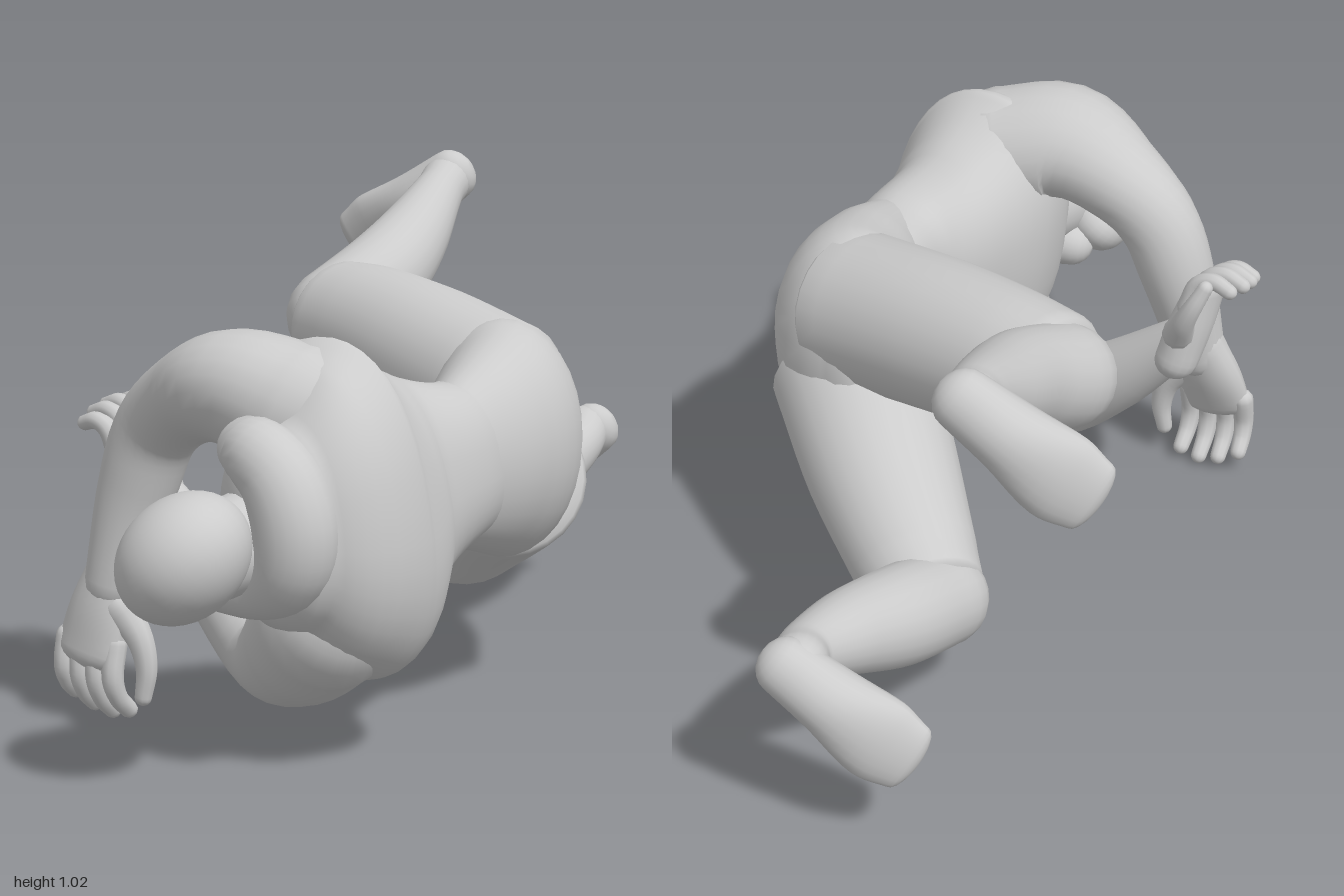
import * as THREE from 'three';

const grey = new THREE.MeshStandardMaterial({ color: 0xcccccc });
const V = (a) => new THREE.Vector3(...a);
const soften = (v, e) => Math.sign(v) * Math.abs(v) ** e;

// Smooth round-ended body through sections [x, y, z, halfWidth, halfDepth]; power < 1 squares the outline
function loft(name, sections, widthDir = [0, 1, 0], sides = 22, cap = 0.5, power = 1) {
  const path = new THREE.CatmullRomCurve3(sections.map((s) => V(s.slice(0, 3))));
  const size = new THREE.CatmullRomCurve3(
    sections.map((s) => new THREE.Vector3(s[3], s[4] ?? s[3], 0)), false, 'catmullrom');
  const rings = [];
  const steps = (sections.length - 1) * 5, capSteps = 5;
  const ring = (t, angle, sign) => {
    const r = size.getPoint(t), tan = path.getTangent(t);
    const depth = Math.min(r.x, r.y) * cap * 2 * Math.sin(angle) * sign;
    rings.push({ c: path.getPoint(t).addScaledVector(tan, depth), tan, r: r.multiplyScalar(Math.cos(angle)) });
  };
  for (let i = capSteps; i > 0; i--) ring(0, (i / capSteps) * Math.PI / 2, -1);
  for (let i = 0; i <= steps; i++) ring(i / steps, 0, 1);
  for (let i = 1; i <= capSteps; i++) ring(1, (i / capSteps) * Math.PI / 2, 1);

  const pos = [], index = [];
  rings.forEach(({ c, tan, r }, i) => {
    const w = V(widthDir).addScaledVector(tan, -V(widthDir).dot(tan)).normalize();
    const d = tan.clone().cross(w);
    for (let j = 0; j < sides; j++) {
      const a = (j / sides) * Math.PI * 2;
      const p = c.clone().addScaledVector(w, r.x * soften(Math.cos(a), power))
        .addScaledVector(d, r.y * soften(Math.sin(a), power));
      pos.push(p.x, p.y, p.z);
      if (i === rings.length - 1) continue;
      const k = i * sides, n = (j + 1) % sides;
      index.push(k + j, k + n, k + sides + j, k + n, k + sides + n, k + sides + j);
    }
  });
  const g = new THREE.BufferGeometry();
  g.setAttribute('position', new THREE.Float32BufferAttribute(pos, 3));
  g.setIndex(index);
  g.computeVertexNormals();
  const m = new THREE.Mesh(g, grey);
  m.name = name;
  return m;
}

function ball(name, at, radii, tilt) {
  const m = new THREE.Mesh(new THREE.SphereGeometry(1, 28, 20), grey);
  m.name = name;
  m.position.set(...at);
  m.scale.set(...radii);
  m.rotation.z = tilt;
  return m;
}

// Hand with the wrist at the origin, fingers along -y, palm towards -z
function hand(name, side, curl) {
  const g = new THREE.Group();
  g.name = name;
  g.add(loft('palm', [[0, 0.03, 0, 0.05, 0.046], [-0.015 * side, -0.05, 0, 0.067, 0.042],
    [-0.027 * side, -0.125, 0, 0.073, 0.03]], [1, 0, 0], 16));
  for (let k = 0; k < 4; k++) {
    const x = (-0.084 + 0.038 * k) * side;
    const len = [0.033, 0.04, 0.043, 0.04][k];
    let y = -0.125, z = 0, a = curl * 0.3;
    const pts = [[x, y + 0.02, z, 0.021]];
    for (let s = 0; s < 3; s++) {
      y -= len * Math.cos(a);
      z -= len * Math.sin(a);
      a += curl;
      pts.push([x * (1 + 0.03 * s), y, z, 0.02 - 0.002 * s]);
    }
    g.add(loft('finger', pts, [1, 0, 0], 10));
  }
  g.add(loft('thumb', [[0.03 * side, -0.04, 0, 0.034], [0.068 * side, -0.09, -0.02, 0.025],
    [0.08 * side, -0.14, -0.035, 0.02], [0.074 * side, -0.19, -0.045, 0.016]], [0, 0, 1], 10));
  return g;
}

export function createModel() {
  const model = new THREE.Group();
  model.name = 'recliningFigure';
  const add = (...parts) => model.add(...parts);

  // Torso and pelvis, curled forward
  add(loft('jacket', [[0.29, 0.53, 0.2, 0.16, 0.1], [0.245, 0.53, 0.32, 0.165, 0.125],
    [0.155, 0.51, 0.42, 0.235, 0.165], [0.09, 0.487, 0.53, 0.335, 0.195],
    [0.05, 0.483, 0.63, 0.295, 0.19], [-0.005, 0.48, 0.7, 0.2, 0.145]], [-0.15, 1, 0], 40, 0.3, 0.87));
  add(loft('shortsSeat', [[0.27, 0.525, 0.31, 0.165, 0.1], [0.315, 0.53, 0.18, 0.21, 0.14],
    [0.335, 0.53, 0.03, 0.245, 0.165], [0.27, 0.53, -0.08, 0.21, 0.14]], [0, 1, 0], 32, 0.3));

  // Small flap on the chest
  const flap = new THREE.Mesh(new THREE.BoxGeometry(0.07, 0.05, 0.04), grey);
  flap.name = 'chestFlap';
  flap.position.set(-0.015, 0.38, 0.375);
  flap.rotation.y = 1.05;
  add(flap);

  // Head, neck and the hood lying around the neck
  add(ball('skull', [-0.163, 0.455, 0.865], [0.137, 0.114, 0.135], 0.75));
  add(ball('jaw', [-0.2, 0.4, 0.79], [0.09, 0.077, 0.135], 0.75));
  add(loft('neck', [[-0.02, 0.47, 0.66, 0.1], [-0.14, 0.44, 0.79, 0.09]]));
  add(loft('hood', [[-0.1, 0.61, 0.64, 0.04], [-0.06, 0.63, 0.715, 0.066], [0.0, 0.585, 0.76, 0.078],
    [0.03, 0.5, 0.78, 0.082], [0.02, 0.42, 0.77, 0.078], [-0.04, 0.375, 0.73, 0.065],
    [-0.14, 0.365, 0.69, 0.05]], [0, 0, 1]));

  // Legs: shorts leg, bare lower leg and foot
  add(loft('upperShortsLeg', [[0.33, 0.61, 0.01, 0.16], [0.155, 0.655, -0.18, 0.155],
    [0.02, 0.68, -0.325, 0.145], [-0.06, 0.685, -0.405, 0.137]], [0, 1, 0], 26, 0.12));
  add(loft('lowerShortsLeg', [[0.34, 0.45, 0.02, 0.17], [0.28, 0.355, -0.2, 0.157],
    [0.215, 0.25, -0.38, 0.13], [0.19, 0.22, -0.455, 0.117]], [1, 0, 0], 26, 0.12));
  add(loft('upperCalf', [[-0.08, 0.70, -0.415, 0.105], [0, 0.765, -0.53, 0.1],
    [0.05, 0.83, -0.66, 0.085], [0.095, 0.92, -0.82, 0.057], [0.105, 0.94, -0.88, 0.057]]));
  add(loft('lowerCalf', [[0.165, 0.21, -0.46, 0.098], [0.25, 0.255, -0.58, 0.1],
    [0.345, 0.305, -0.7, 0.083], [0.42, 0.35, -0.82, 0.057], [0.43, 0.37, -0.88, 0.057]]));
  for (const [name, dx, dy] of [['upperFoot', 0, 0], ['lowerFoot', 0.335, -0.58]]) {
    const foot = loft(name, [[0.12, 0.955, -0.895, 0.06, 0.05], [0.035, 0.89, -0.92, 0.07, 0.062],
      [-0.05, 0.825, -0.95, 0.088, 0.042], [-0.105, 0.79, -0.965, 0.074, 0.026]], [-0.62, 0.77, 0.1]);
    foot.position.set(dx, dy, 0);
    add(foot);
  }

  // Upper arm reaches forward and hangs down; lower arm folds up
  add(loft('upperArm', [[0.01, 0.67, 0.57, 0.14], [-0.12, 0.71, 0.525, 0.138, 0.115],
    [-0.235, 0.67, 0.43, 0.105, 0.093], [-0.31, 0.6, 0.375, 0.086], [-0.355, 0.48, 0.355, 0.08],
    [-0.405, 0.28, 0.36, 0.06]], [0, 0.3, 1]));
  add(loft('lowerArm', [[0.06, 0.28, 0.595, 0.14], [0, 0.205, 0.505, 0.122], [-0.08, 0.155, 0.39, 0.092],
    [-0.2, 0.26, 0.275, 0.08], [-0.35, 0.42, 0.17, 0.05]], [0, 0.5, 1]));

  const upperHand = hand('upperHand', 1, 0.45);
  upperHand.position.set(-0.41, 0.275, 0.36);
  upperHand.rotation.set(-0.25, -0.5, 0, 'YXZ');
  upperHand.scale.setScalar(1.12);
  add(upperHand);

  // Lower hand: f is the finger direction, c the way the fingers curl
  const lowerHand = hand('lowerHand', -1, 0.7);
  const f = V([-0.25, 0.95, 0]).normalize();
  const c = V([-0.75, 0, -0.55]);
  c.addScaledVector(f, -c.dot(f)).normalize();
  lowerHand.quaternion.setFromRotationMatrix(
    new THREE.Matrix4().makeBasis(f.clone().cross(c), f.clone().negate(), c.clone().negate()));
  lowerHand.position.set(-0.35, 0.42, 0.15);
  lowerHand.scale.setScalar(1.02);
  add(lowerHand);

  return model;
}
